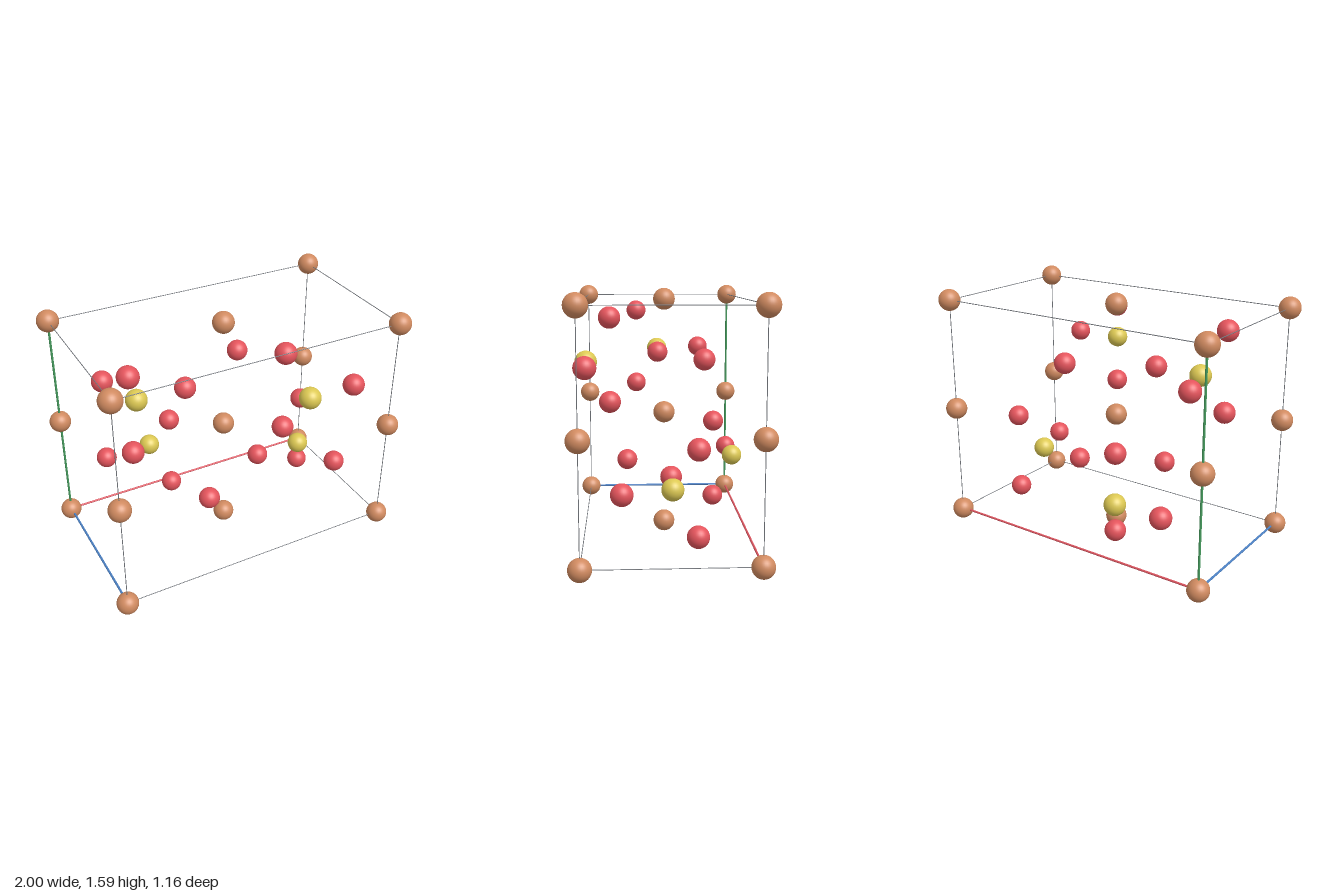
import * as THREE from 'three';

// Half extents of the unit cell and height of its centre
const HX = 0.931, HY = 0.728, HZ = 0.513, CY = 0.797;

function material(name, color) {
  const m = new THREE.MeshStandardMaterial({ color });
  m.name = name;
  return m;
}

export function createModel() {
  const model = new THREE.Group();
  model.name = 'crystalCell';

  const brown = material('copper brown', 0xd08a60);
  const red = material('coral red', 0xe4545c);
  const yellow = material('mustard yellow', 0xdcc853);
  const grey = material('slate grey', 0x787c82);
  const axisRed = material('axis red', 0xdc5560);
  const axisGreen = material('axis green', 0x469c5e);
  const axisBlue = material('axis blue', 0x4a80c4);

  const metalBall = new THREE.SphereGeometry(0.069, 32, 20);
  const smallBall = new THREE.SphereGeometry(0.068, 32, 20);

  // Positions are relative to the cell centre
  function atom(name, geometry, mat, x, y, z) {
    const mesh = new THREE.Mesh(geometry, mat);
    mesh.name = name;
    mesh.position.set(x, CY + y, z);
    model.add(mesh);
  }

  // Each site has a partner reflected through the cell centre
  function atomPair(name, geometry, mat, x, y, z) {
    atom(name, geometry, mat, x, y, z);
    atom(name, geometry, mat, -x, -y, -z);
  }

  // Metal atoms: vertical edges and the central column
  for (const y of [-HY, 0, HY]) {
    for (const x of [-HX, HX])
      for (const z of [-HZ, HZ]) atom('metalAtom', metalBall, brown, x, y, z);
    atom('metalAtom', metalBall, brown, 0, y, 0);
  }

  // Yellow group centres
  const level = HY / 2;
  for (const [x, z] of [[-0.6, 0.023], [0.33, 0.488]])
    atomPair('groupCentreAtom', smallBall, yellow, x, level, z);

  // Red atoms lying on the quarter planes
  for (const [x, z] of [[-0.703, -0.277], [0.228, -0.239], [-0.281, 0.031], [0.65, 0.482]])
    atomPair('outerAtom', smallBall, red, x, level, z);

  // Red atoms mirrored above and below the quarter planes
  for (const [x, z] of [[-0.697, 0.167], [0.234, 0.346]])
    for (const dy of [-0.26, 0.26])
      atomPair('outerAtom', smallBall, red, x, level + dy, z);

  // Cell edges; the three meeting at the origin corner are coloured axes
  const directions = [
    { axis: 'x', half: HX, mat: axisRed },
    { axis: 'y', half: HY, mat: axisGreen },
    { axis: 'z', half: HZ, mat: axisBlue },
  ];
  const halves = { x: HX, y: HY, z: HZ };
  for (const { axis, half, mat } of directions) {
    const [u, v] = ['x', 'y', 'z'].filter((a) => a !== axis);
    for (const su of [-1, 1])
      for (const sv of [-1, 1]) {
        const isAxis = su < 0 && sv < 0;
        const r = isAxis ? 0.007 : 0.0025;
        const rod = new THREE.Mesh(
          new THREE.CylinderGeometry(r, r, 2 * half, 10), isAxis ? mat : grey);
        rod.name = isAxis ? axis + 'AxisRod' : 'cellEdge';
        if (axis === 'x') rod.rotation.z = -Math.PI / 2;
        if (axis === 'z') rod.rotation.x = Math.PI / 2;
        rod.position[u] = su * halves[u];
        rod.position[v] = sv * halves[v];
        rod.position.y += CY;
        model.add(rod);
      }
  }

  return model;
}
